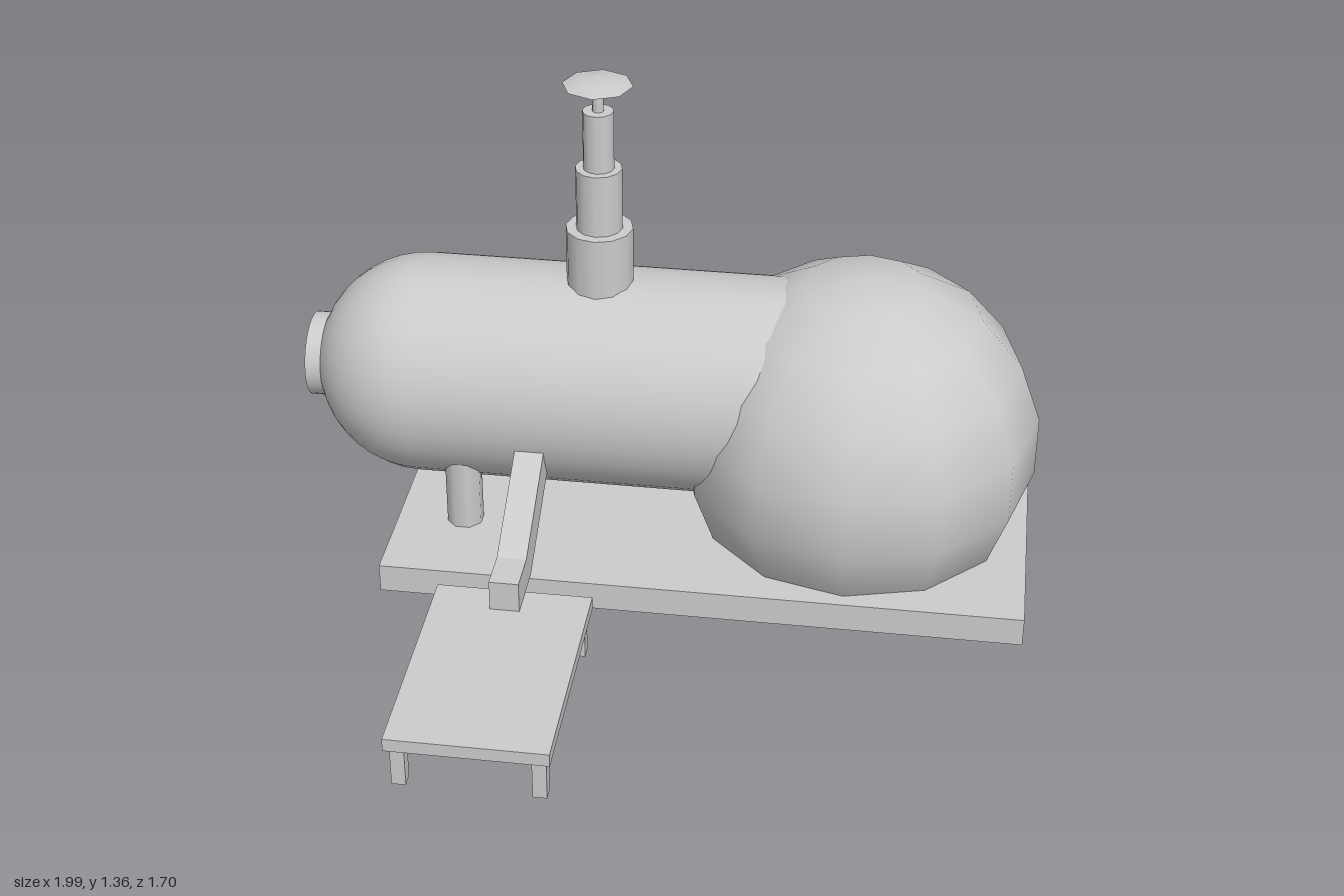
import * as THREE from 'three';
import { toCreasedNormals } from 'three/addons/utils/BufferGeometryUtils.js';

const material = new THREE.MeshStandardMaterial({ color: 0xcccccc });

export function createModel() {
  const model = new THREE.Group();

  const add = (name, geometry, x = 0, y = 0, z = 0, parent = model) => {
    const mesh = new THREE.Mesh(geometry, material);
    mesh.name = name;
    mesh.position.set(x, y, z);
    parent.add(mesh);
    return mesh;
  };
  const lathe = (points, segments) => toCreasedNormals(
    new THREE.LatheGeometry(points.map(([r, y]) => new THREE.Vector2(r, y)), segments), 0.85);

  // Base slab
  add('base', new THREE.BoxGeometry(1.715, 0.08, 0.9), 0.123, 0.066, -0.35);

  // Faceted globe, cut off where it meets the slab
  add('globe', new THREE.SphereGeometry(0.49, 12, 6, 0, Math.PI * 2, 0, Math.PI * 2 / 3), 0.505, 0.345, -0.365);

  // Horizontal tank: recessed mouth, neck, rounded shoulder, straight barrel
  const profile = [[0, -0.97], [0.092, -0.97], [0.092, -1], [0.115, -1]];
  const start = Math.asin(0.115 / 0.3);
  for (let i = 0; i <= 8; i++) {
    const a = start + (Math.PI / 2 - start) * i / 8;
    profile.push([0.3 * Math.sin(a), -0.68 - 0.3 * Math.cos(a)]);
  }
  profile.push([0.3, 0.4], [0, 0.4]);
  const tank = lathe(profile, 32);
  tank.rotateZ(-Math.PI / 2);
  add('tank', tank, 0, 0.48, -0.355);

  // Tank legs, front and back
  for (const side of [1, -1]) {
    const leg = new THREE.CylinderGeometry(0.05, 0.05, 0.24, 8);
    leg.rotateY(Math.PI / 8);
    add('tankLeg', leg, -0.55, 0.205, -0.355 + side * 0.2);
  }

  // Stepped chimney: radius, bottom, top
  const chimney = new THREE.Group();
  chimney.name = 'chimney';
  chimney.position.set(-0.2, 0, -0.353);
  model.add(chimney);
  const steps = [[0.09, 0.7, 0.935], [0.062, 0.93, 1.108], [0.041, 1.1, 1.27], [0.015, 1.26, 1.348]];
  for (const [r, bottom, top] of steps) {
    add('chimneySection', new THREE.CylinderGeometry(r, r, top - bottom, 12), 0, (bottom + top) / 2, 0, chimney);
  }
  add('chimneyCap', lathe([[0, 1.343], [0.092, 1.343], [0.05, 1.354], [0, 1.358]], 8), 0, 0, 0, chimney);

  // Chute from the tank to the table, drawn as a side profile (z, y)
  const side = new THREE.Shape([
    [0.31, 0.155], [0.31, 0.24], [0.2, 0.24], [-0.12, 0.425], [-0.12, 0.31], [0.148, 0.155],
  ].map(([z, y]) => new THREE.Vector2(z, y)));
  const chute = new THREE.ExtrudeGeometry(side, { depth: 0.078, bevelEnabled: false });
  chute.rotateY(-Math.PI / 2);
  add('chute', chute, -0.311);

  // Table
  const table = new THREE.Group();
  table.name = 'table';
  table.position.set(-0.34, 0, 0.538);
  model.add(table);
  add('tableTop', new THREE.BoxGeometry(0.41, 0.036, 0.632), 0, 0.135, 0, table);
  for (const x of [-0.175, 0.175]) {
    for (const z of [-0.28, 0.28]) {
      add('tableLeg', new THREE.BoxGeometry(0.036, 0.118, 0.036), x, 0.059, z, table);
    }
  }

  return model;
}
